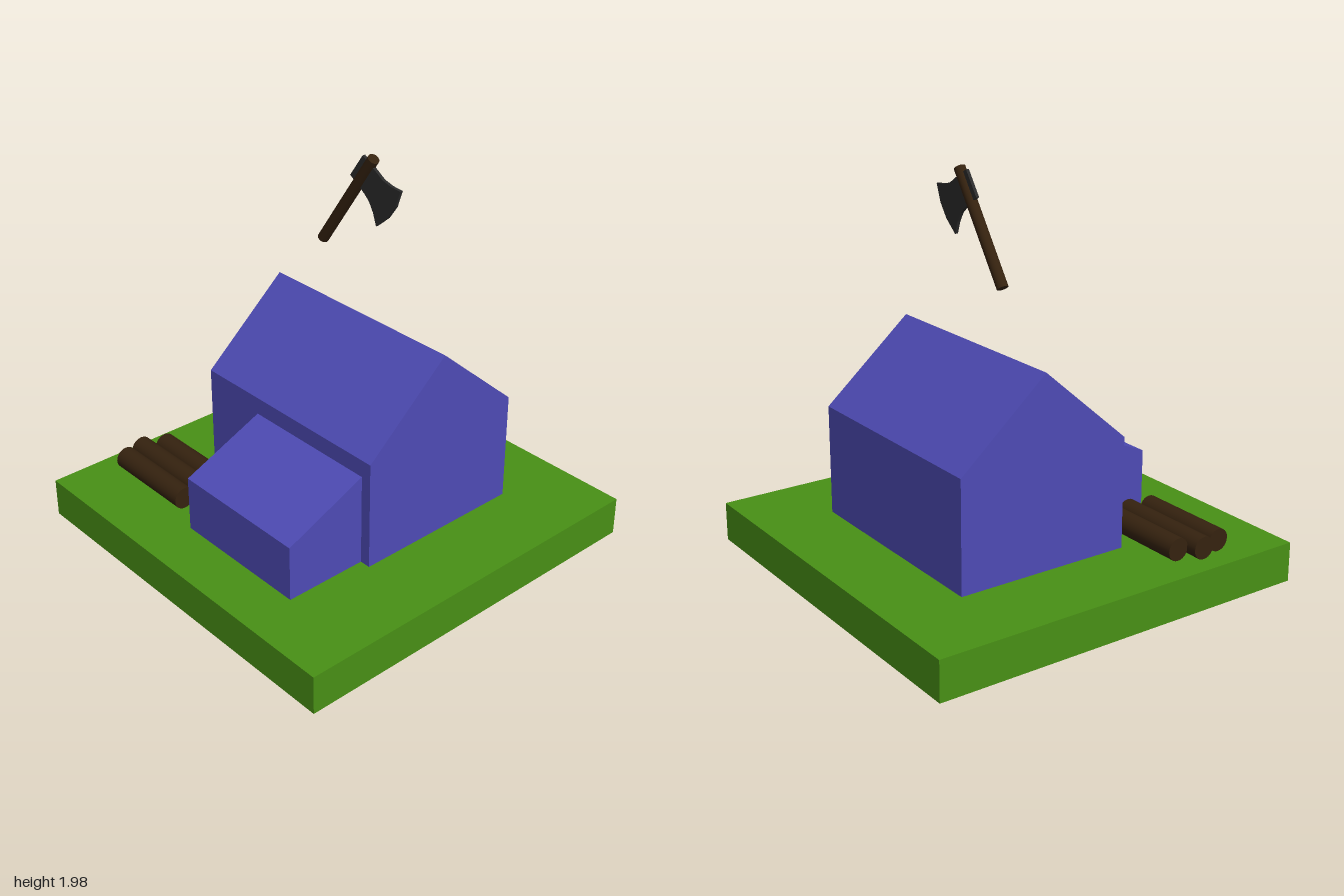
import * as THREE from 'three';

const material = (color) => new THREE.MeshStandardMaterial({ color });
const shapeOf = (points) => new THREE.Shape(points.map(([x, y]) => new THREE.Vector2(x, y)));

export function createModel() {
  const model = new THREE.Group();
  const grass = material(0x489015);
  const paint = material(0x4e4bb5);
  const wood = material(0x35220f);
  const iron = material(0x2b2b2b);

  const add = (parent, name, geometry, mat) => {
    const mesh = new THREE.Mesh(geometry, mat);
    mesh.name = name;
    parent.add(mesh);
    return mesh;
  };

  // Extrudes a (z, y) side profile across the width from x0 to x1
  const prism = (profile, x0, x1) =>
    new THREE.ExtrudeGeometry(shapeOf(profile), { depth: x1 - x0, bevelEnabled: false })
      .rotateY(-Math.PI / 2)
      .translate(x1, 0, 0);

  // Ground slab
  add(model, 'ground', new THREE.BoxGeometry(2, 0.2, 2).translate(0, 0.1, 0), grass);

  // Gabled house with a lean-to at the front
  const house = new THREE.Group();
  house.name = 'house';
  model.add(house);
  add(house, 'mainHouse', prism(
    [[-0.61, 0.2], [0.302, 0.2], [0.302, 0.76], [-0.154, 1.157], [-0.61, 0.76]], -0.58, 0.59), paint);
  add(house, 'leanTo', prism(
    [[0.29, 0.2], [0.735, 0.2], [0.735, 0.485], [0.302, 0.672], [0.29, 0.672]], -0.213, 0.535), paint);

  // Log pile: x start, x end, z
  const logs = new THREE.Group();
  logs.name = 'logPile';
  model.add(logs);
  for (const [x0, x1, z] of [[-0.845, -0.395, 0.424], [-0.9, -0.345, 0.534], [-0.87, -0.37, 0.65]]) {
    const log = add(logs, 'log', new THREE.CylinderGeometry(0.057, 0.057, x1 - x0, 24), wood);
    log.rotation.z = Math.PI / 2;
    log.position.set((x0 + x1) / 2, 0.256, z);
  }

  // Axe floating above the roof
  const axe = new THREE.Group();
  axe.name = 'axe';
  axe.position.z = -0.147;
  model.add(axe);

  const from = new THREE.Vector3(-0.237, 1.465, 0);
  const to = new THREE.Vector3(0.107, 1.965, 0);
  const along = to.clone().sub(from);
  const handle = add(axe, 'axeHandle', new THREE.CylinderGeometry(0.028, 0.028, along.length(), 24), wood);
  handle.position.copy(from).add(to).multiplyScalar(0.5);
  handle.quaternion.setFromUnitVectors(new THREE.Vector3(0, 1, 0), along.normalize());

  // Thin head: square poll behind the handle, flared blade ahead of it
  const head = shapeOf([
    [0.042, 1.965], [-0.04, 1.848], [0.055, 1.785], [0.088, 1.755], [0.115, 1.71], [0.137, 1.648],
    [0.21, 1.71], [0.26, 1.78], [0.29, 1.865], [0.23, 1.87], [0.175, 1.885], [0.12, 1.92],
  ]);
  add(axe, 'axeHead', new THREE.ExtrudeGeometry(head, { depth: 0.016, bevelEnabled: false })
    .translate(0, 0, -0.008), iron);

  return model;
}
